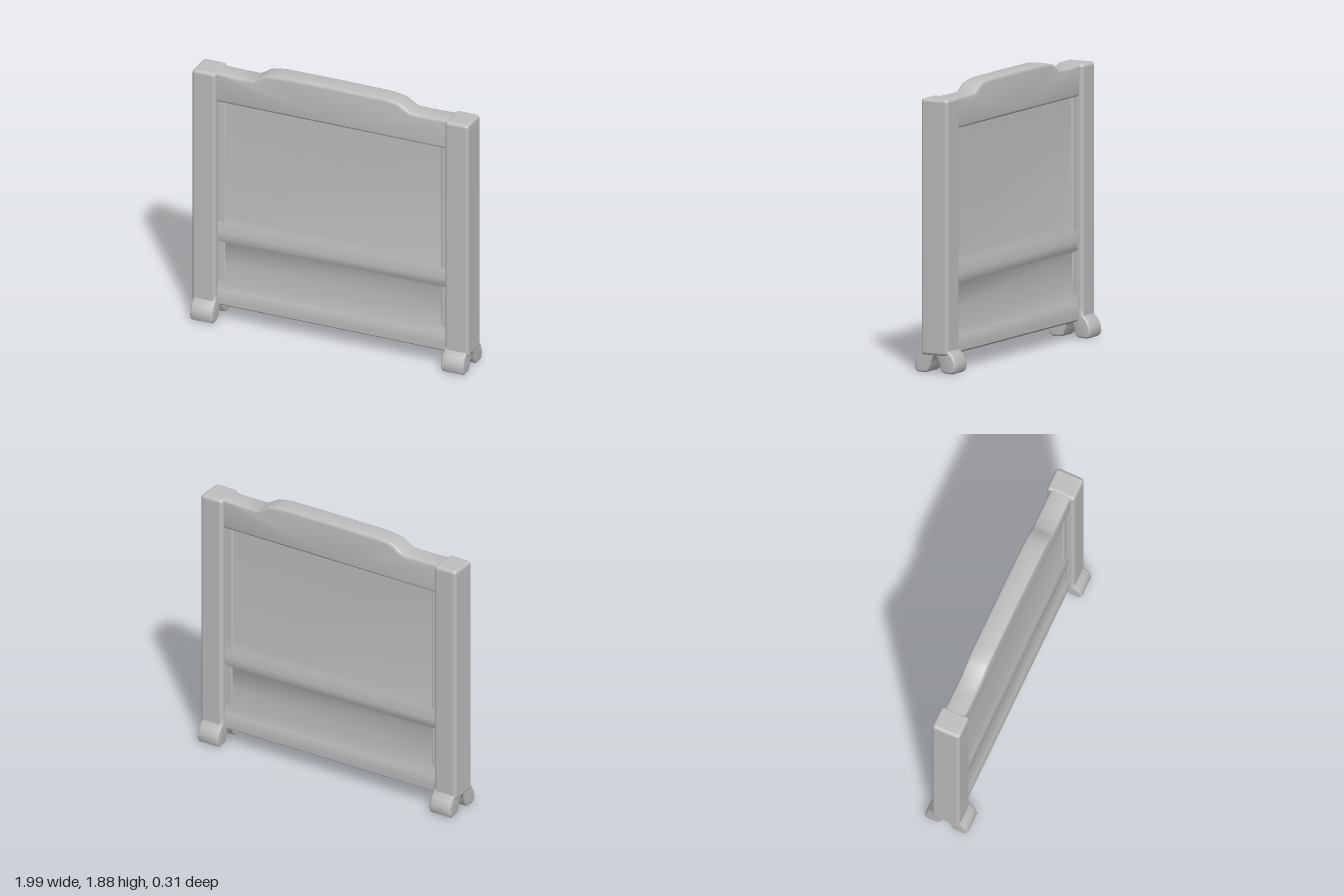
import * as THREE from 'three';
import { toCreasedNormals } from 'three/addons/utils/BufferGeometryUtils.js';
import { RoundedBoxGeometry } from 'three/addons/geometries/RoundedBoxGeometry.js';

const grey = new THREE.MeshStandardMaterial({ color: 0xbebebe });
grey.name = 'plain grey';

function part(name, geometry, parent) {
  const mesh = new THREE.Mesh(geometry, grey);
  mesh.name = name;
  parent.add(mesh);
  return mesh;
}

// Closed shape from one half of an outline, mirrored across the vertical axis
function mirroredShape(half) {
  const other = half.filter(([a]) => a > 0).map(([a, y]) => [-a, y]).reverse();
  return new THREE.Shape([...half, ...other].map(([a, y]) => new THREE.Vector2(a, y)));
}

// Extrude a shape, centred on its depth, with soft bevels kept inside the outline
function extrude(shape, depth, bevel) {
  const geometry = new THREE.ExtrudeGeometry(shape, {
    depth: depth - 2 * bevel, bevelEnabled: bevel > 0, bevelThickness: bevel,
    bevelSize: bevel, bevelOffset: -bevel, bevelSegments: 3,
  });
  geometry.translate(0, 0, bevel - depth / 2);
  return toCreasedNormals(geometry, 0.65);
}

export function createModel() {
  const group = new THREE.Group();
  group.name = 'headboard';

  // Recessed panel with bottom and middle rails: half thickness and height
  const panelProfile = [
    [0.05, 0.11], [0.07, 0.125], [0.072, 0.18], [0.064, 0.225], [0.052, 0.26],
    [0.047, 0.4], [0.045, 0.565], [0.06, 0.59], [0.062, 0.64], [0.052, 0.71],
    [0.04, 0.76], [0.038, 1.66], [0, 1.66],
  ];
  const panel = extrude(mirroredShape([[0, 0.11], ...panelProfile]), 1.7, 0);
  part('panel', panel.rotateY(Math.PI / 2), group);

  // Top rail with a raised centre
  const crown = mirroredShape([
    [0, 1.6], [0.85, 1.6], [0.85, 1.812], [0.7, 1.807], [0.57, 1.808], [0.53, 1.83],
    [0.49, 1.857], [0.44, 1.868], [0.37, 1.876], [0, 1.878],
  ]);
  part('topRail', extrude(crown, 0.146, 0.02), group);

  const foot = mirroredShape([
    [0, 0.115], [0.018, 0.1], [0.032, 0.06], [0.048, 0.015], [0.065, 0.003],
    [0.125, 0], [0.145, 0.012], [0.155, 0.04], [0.15, 0.075], [0.13, 0.12],
    [0.1, 0.15], [0.09, 0.19], [0, 0.19],
  ]);

  for (const side of [-1, 1]) {
    const name = side > 0 ? 'left' : 'right';

    // Upright post
    const post = part(name + 'Post', new RoundedBoxGeometry(0.17, 1.7, 0.2, 4, 0.024), group);
    post.position.set(side * 0.91, 0.965, 0);

    // Forked foot
    const feet = part(name + 'Foot', extrude(foot, 0.16, 0.012).rotateY(Math.PI / 2), group);
    feet.position.x = side * 0.904;

    // Narrow soft-edged strips where the panel meets the post
    for (const face of [-1, 1]) {
      const strip = part(name + 'Strip', new RoundedBoxGeometry(0.07, 1.44, 0.03, 3, 0.012), group);
      strip.position.set(side * 0.81, 0.9, face * 0.036);
    }
  }
  return group;
}
